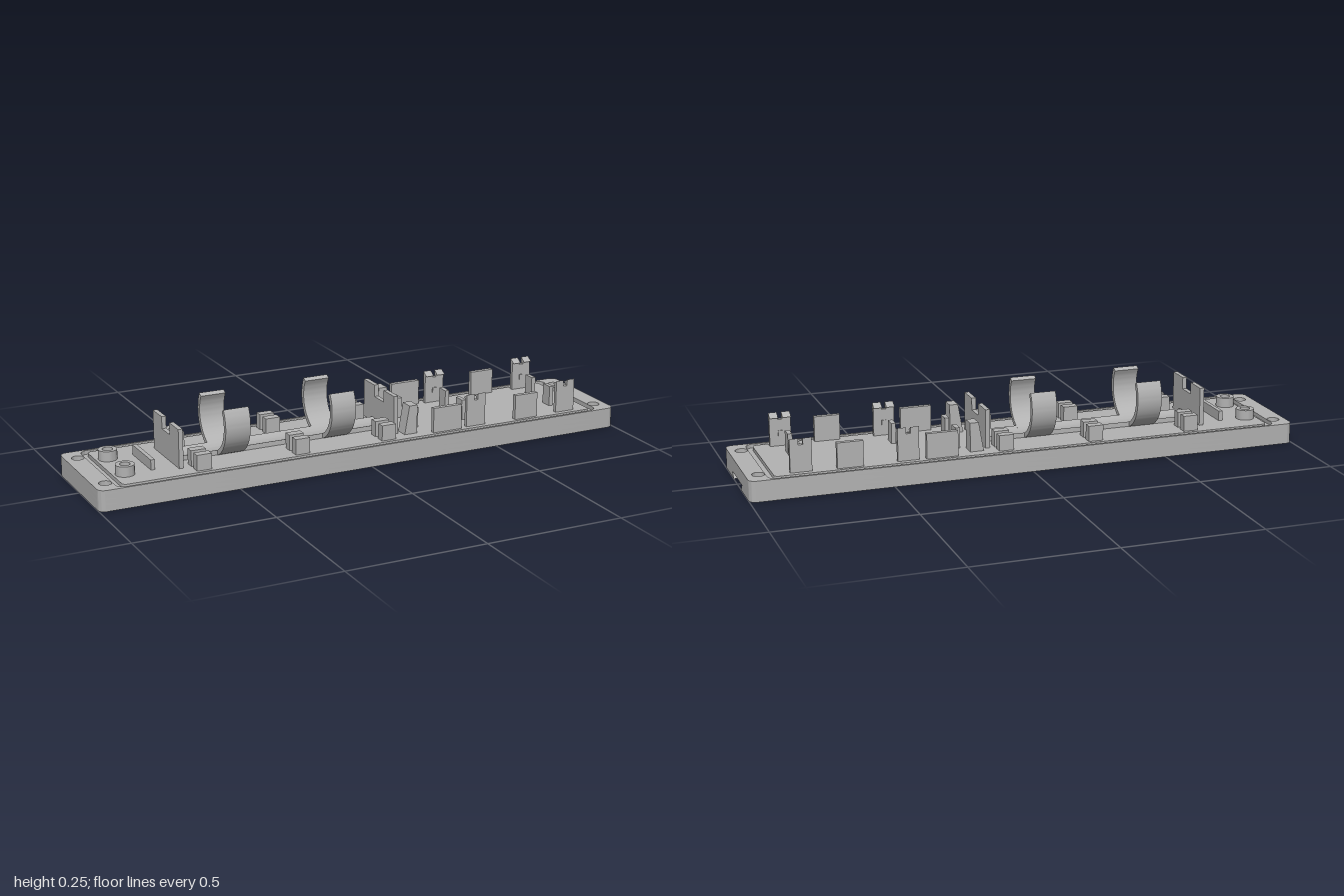
import * as THREE from 'three';
import { toCreasedNormals } from 'three/addons/utils/BufferGeometryUtils.js';

export function createModel() {
  const group = new THREE.Group();
  const grey = new THREE.MeshStandardMaterial({ color: 0xb2b2b2 });
  grey.name = 'grey plastic';
  const TOP = 0.074;

  const add = (name, geometry) => {
    const mesh = new THREE.Mesh(toCreasedNormals(geometry, 0.5), grey);
    mesh.name = name;
    group.add(mesh);
    return mesh;
  };
  const box = (name, x0, x1, y0, y1, z0, z1) => {
    const g = new THREE.BoxGeometry(x1 - x0, y1 - y0, Math.abs(z1 - z0));
    g.translate((x0 + x1) / 2, (y0 + y1) / 2, (z0 + z1) / 2);
    return add(name, g);
  };
  const poly = (pts) => new THREE.Shape(pts.map((p) => new THREE.Vector2(p[0], p[1])));
  // Outline in x and z, raised from y0 to y1
  const slab = (shape, y0, y1) => new THREE.ExtrudeGeometry(shape,
    { depth: y1 - y0, bevelEnabled: false, curveSegments: 16 })
    .rotateX(-Math.PI / 2).translate(0, y0, 0);
  // Section in z and y, run from x0 to x1
  const bar = (shape, x0, x1) => new THREE.ExtrudeGeometry(shape,
    { depth: x1 - x0, bevelEnabled: false, curveSegments: 32 })
    .rotateY(-Math.PI / 2).translate(x1, 0, 0);
  const circle = (x, y, r) => {
    const p = new THREE.Path();
    p.absarc(x, y, r, 0, Math.PI * 2, true);
    return p;
  };
  // Rounded rectangle, optionally notched at the +x end
  const plate = (hx, hz, r, slot) => {
    const s = new THREE.Shape();
    s.moveTo(-hx + r, -hz);
    s.absarc(hx - r, -hz + r, r, -Math.PI / 2, 0, false);
    if (slot) [[hx, -0.06], [0.78, -0.06], [0.78, 0.06], [hx, 0.06]].forEach((p) => s.lineTo(p[0], p[1]));
    s.absarc(hx - r, hz - r, r, 0, Math.PI / 2, false);
    s.absarc(-hx + r, hz - r, r, Math.PI / 2, Math.PI, false);
    s.absarc(-hx + r, -hz + r, r, Math.PI, Math.PI * 1.5, false);
    return s;
  };
  const drilled = (shape, r) => {
    for (const x of [-0.955, 0.955]) for (const z of [-0.138, 0.138]) shape.holes.push(circle(x, z, r));
    return shape;
  };

  // Base: slotted bottom, counterbored middle, drilled top with a seal groove
  const bottom = drilled(plate(1, 0.207, 0.025, true), 0.036);
  bottom.holes.push(poly([[-0.35, -0.08], [-0.58, -0.08], [-0.58, -0.06], [-0.82, -0.06],
    [-0.82, 0.06], [-0.58, 0.06], [-0.58, 0.08], [-0.35, 0.08]]));
  const bottomGeo = slab(bottom, 0, 0.022);
  const pos = bottomGeo.attributes.position;
  // Dovetail: slot walls lean outward towards the slot roof
  for (let i = 0; i < pos.count; i++) {
    const z = pos.getZ(i);
    if (pos.getY(i) > 0.02 && Math.abs(Math.abs(z) - 0.06) < 1e-4) pos.setZ(i, Math.sign(z) * 0.08);
  }
  add('baseBottom', bottomGeo);
  add('baseMiddle', slab(drilled(plate(1, 0.207, 0.025), 0.036), 0.022, 0.04));
  add('baseUpper', slab(drilled(plate(1, 0.207, 0.025), 0.022), 0.04, 0.06));
  const rim = drilled(plate(1, 0.207, 0.025), 0.022);
  rim.holes.push(plate(0.932, 0.198, 0.03));
  add('baseRim', slab(rim, 0.06, TOP));
  add('floor', slab(plate(0.908, 0.181, 0.015), 0.06, TOP));

  // Cradle with a concave top
  const cy = 0.19, rIn = 0.108, rOut = 0.125;
  const half = Math.asin(0.045 / rIn);
  const trough = new THREE.Shape();
  trough.moveTo(-0.045, 0.066);
  trough.lineTo(0.045, 0.066);
  trough.absarc(0, cy, rIn, -Math.PI / 2 + half, -Math.PI / 2 - half, true);
  add('cradle', bar(trough, -0.67, 0.13));

  // Spring clips: open rings
  for (const x of [-0.47, -0.07]) {
    const tip = 0.54;
    const ring = new THREE.Shape();
    ring.absarc(0, cy, rOut, -Math.PI - tip, tip, false);
    ring.absarc(0, cy, rIn, tip, -Math.PI - tip, true);
    add('springClip', bar(ring, x - 0.046, x + 0.046));
  }

  // Notched end walls
  for (const x of [-0.685, 0.13]) {
    add('endWall', bar(poly([[-0.118, 0.07], [0.118, 0.07], [0.118, 0.213], [0.035, 0.213],
      [0.035, 0.17], [-0.035, 0.17], [-0.035, 0.213], [-0.118, 0.213]]), x, x + 0.016));
  }

  box('stopRib', -0.775, -0.76, 0.07, 0.11, -0.088, 0.088);

  for (const s of [-1, 1]) {
    // Screw bosses
    const boss = new THREE.Shape();
    boss.absarc(-0.866, s * 0.085, 0.033, 0, Math.PI * 2, false);
    boss.holes.push(circle(-0.866, s * 0.085, 0.018));
    add('screwBoss', slab(boss, 0.07, 0.11));

    // Pairs of wire posts
    for (const x of [-0.613, -0.248, 0.085]) {
      box('innerWirePost', x - 0.027, x + 0.027, 0.07, 0.13, s * 0.083, s * 0.115);
      box('outerWirePost', x - 0.027, x + 0.027, 0.07, 0.13, s * 0.136, s * 0.167);
    }

    // Sloped buttresses
    const wedge = new THREE.ExtrudeGeometry(
      poly([[0.16, 0.07], [0.21, 0.07], [0.21, 0.178], [0.179, 0.178]]),
      { depth: 0.05, bevelEnabled: false });
    add('buttress', wedge.translate(0, 0, s * 0.117 - 0.025));

    // Narrow stops and side panels
    for (const x of [0.237, 0.433, 0.803]) box('boardStop', x - 0.008, x + 0.008, 0.07, 0.148, s * 0.04, s * 0.085);
    for (const [a, b] of [[0.262, 0.375], [0.598, 0.69]]) box('sidePanel', a, b, 0.07, 0.165, s * 0.152, s * 0.169);

    // Snap hooks: post, split barbed head, small rib
    for (const x of [0.438, 0.813]) {
      box('hookPost', x - 0.038, x + 0.038, 0.07, 0.17, s * 0.148, s * 0.162);
      const head = [[0.162, 0.17], [0.148, 0.17], [0.148, 0.178], [0.138, 0.178], [0.162, 0.193]];
      for (const [a, b] of [[-0.038, -0.008], [0.008, 0.038]]) {
        add('hookHead', bar(poly(head.map(([z, y]) => [s * z, y])), x + a, x + b));
      }
      box('hookRib', x - 0.008, x + 0.008, 0.11, 0.13, s * 0.144, s * 0.149);
    }
  }
  return group;
}
